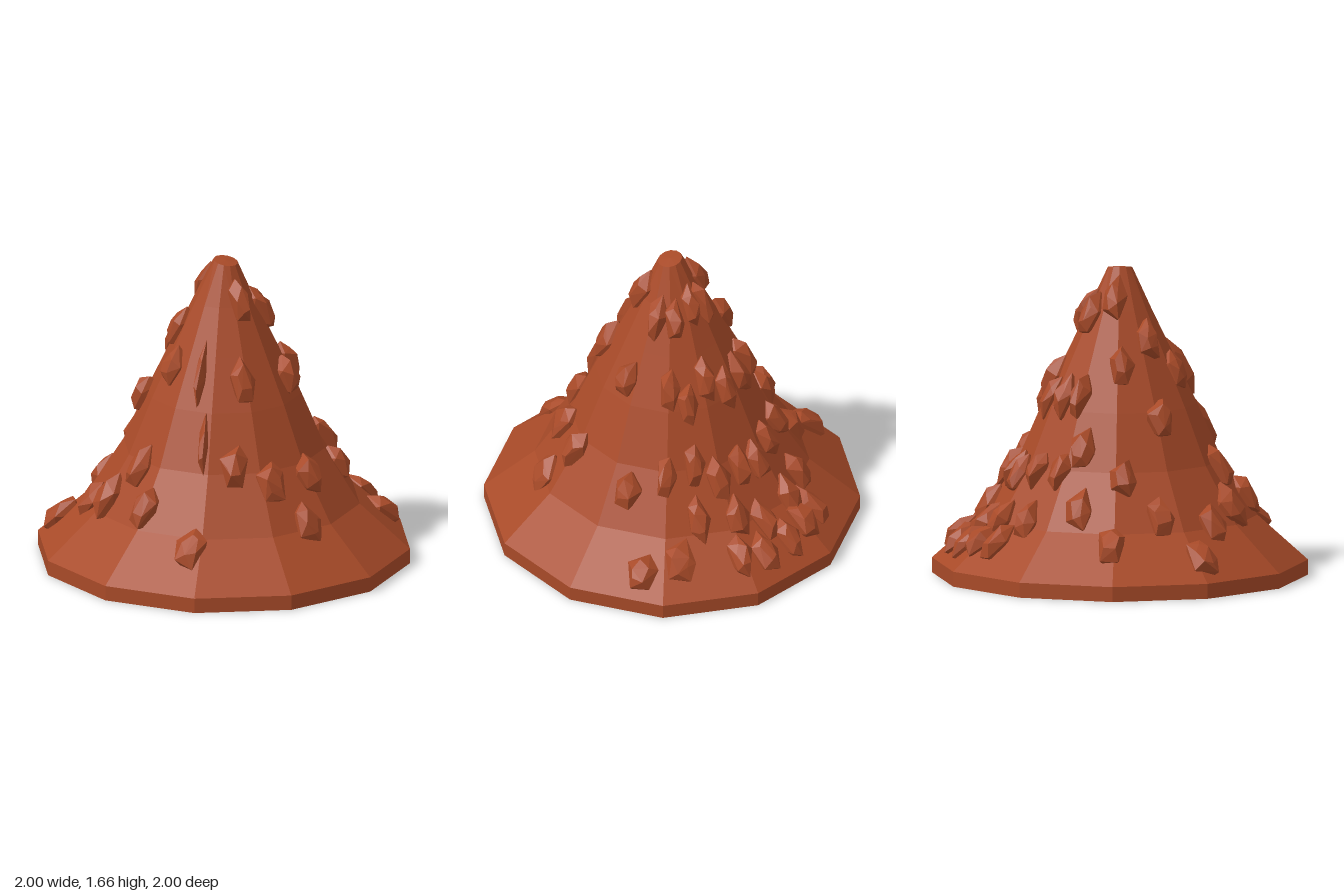
import * as THREE from 'three';
import { ConvexGeometry } from 'three/addons/geometries/ConvexGeometry.js';

const SIDES = 12;
const STEP = Math.PI * 2 / SIDES;
// slope of the mound: radius, height
const SLOPE = [[1, 0.08], [0.73, 0.32], [0.54, 0.62], [0.41, 0.92], [0.28, 1.19], [0.165, 1.43], [0.065, 1.645]];

// single boulders on the front and flanks: x, z
const BOULDERS = [
  [0.48, -0.4], [0.35, -0.77], [0.55, -0.7], [0.35, -0.13], [0.6, 0], [0.71, 0.14], [0.54, 0.25],
  [0.38, 0.38], [0.3, 0.2], [0.17, 0.06], [0.35, 0.72], [0, 0.69], [-0.15, 0.55], [-0.32, 0.62],
  [-0.5, 0.53], [-0.76, 0.48], [-0.65, 0.25], [-0.58, 0.04], [-0.82, -0.02], [-0.47, -0.19],
  [-0.64, -0.2], [-0.38, 0.24], [-0.2, 0.17], [-0.12, 0.32], [-0.32, 0.02], [-0.16, -0.03],
];
// thin upright slabs: x, z
const SLABS = [[0.22, 0.45], [0.1, 0.33]];
// crowded rows on the back: radius, rocks, first and last angle from the back centre
const BACK_ROWS = [[0.19, 4, -0.6, 0.9], [0.38, 6, -1, 0.55], [0.57, 7, -0.95, 0.5], [0.72, 5, -0.85, 0.25], [0.86, 5, -0.7, 0.05]];

let seed = 11;
function rand(min, max) {
  seed = (seed * 16807) % 2147483647;
  return min + (max - min) * seed / 2147483647;
}

// Height of the slope and its uphill direction at a given radius
function slopeAt(r) {
  let i = 0;
  while (i < SLOPE.length - 2 && SLOPE[i + 1][0] > r) i++;
  const [r0, y0] = SLOPE[i], [r1, y1] = SLOPE[i + 1];
  return { y: y0 + (y1 - y0) * (r0 - r) / (r0 - r1), up: new THREE.Vector2(r1 - r0, y1 - y0).normalize() };
}

// Irregular boulder: buried end, waist ring and a smaller outer face
function rockGeometry(w, l) {
  const points = [];
  for (const [z, s] of [[-0.06, 0.8], [0.015, 1], [0.055, 0.55]]) {
    for (let k = 0; k < 5; k++) {
      const a = (k + rand(-0.25, 0.25)) / 5 * Math.PI * 2 + z * 8;
      points.push(new THREE.Vector3(
        Math.cos(a) * w * s * rand(0.95, 1.2),
        Math.sin(a) * l * s * rand(0.9, 1.1),
        z + rand(-0.012, 0.012)));
    }
  }
  return new ConvexGeometry(points);
}

export function createModel() {
  const model = new THREE.Group();
  model.name = 'rockyMound';
  const material = new THREE.MeshStandardMaterial({ color: 0xa84a28, flatShading: true });

  // Twelve-sided cone with a rim and a recessed underside
  const profile = [[0, 0.04], [0.71, 0.04], [0.71, 0], [1, 0], ...SLOPE, [0, 1.65]];
  const body = new THREE.LatheGeometry(profile.map(p => new THREE.Vector2(...p)), SIDES);
  const pos = body.attributes.position;
  for (let i = 0; i < pos.count; i++) {
    const x = pos.getX(i), y = pos.getY(i);
    if (y > 1.6) pos.setXYZ(i, x + 0.012, y - x * 0.2, pos.getZ(i)); // tilted peak
  }
  const mound = new THREE.Mesh(body, material);
  mound.name = 'mound';
  model.add(mound);

  // Rocks lying along the slope, half buried
  const rocks = new THREE.Group();
  rocks.name = 'rocks';
  model.add(rocks);
  function addRock(name, x, z, w, l) {
    const a = Math.atan2(z, x);
    const offset = (a + Math.PI * 2) % STEP - STEP / 2;
    const flat = Math.cos(STEP / 2) / Math.cos(offset); // faces sit inside the corner radius
    const r = Math.hypot(x, z) - 0.03;
    const { y, up } = slopeAt(r / flat);
    const side = new THREE.Vector3(Math.sin(a), 0, -Math.cos(a));
    const along = new THREE.Vector3(Math.cos(a) * up.x, up.y, Math.sin(a) * up.x);
    const out = new THREE.Vector3().crossVectors(side, along);
    const rock = new THREE.Mesh(rockGeometry(w, l), material);
    rock.name = name;
    rock.quaternion.setFromRotationMatrix(new THREE.Matrix4().makeBasis(side, along, out));
    rock.position.set(Math.cos(a) * r, y, Math.sin(a) * r);
    rocks.add(rock);
  }

  for (const [x, z] of BOULDERS) addRock('boulder', x, z, 0.055 + 0.03 * Math.hypot(x, z), rand(0.115, 0.14));
  for (const [x, z] of SLABS) addRock('slab', x, z, 0.025, 0.18);
  for (const [radius, count, first, last] of BACK_ROWS) {
    for (let i = 0; i < count; i++) {
      const a = first + (last - first) * i / (count - 1) + rand(-0.04, 0.04);
      const r = radius + rand(-0.03, 0.03);
      addRock('backRock', Math.sin(a) * r, -Math.cos(a) * r, 0.045 + 0.025 * r, rand(0.11, 0.14));
    }
  }
  return model;
}
